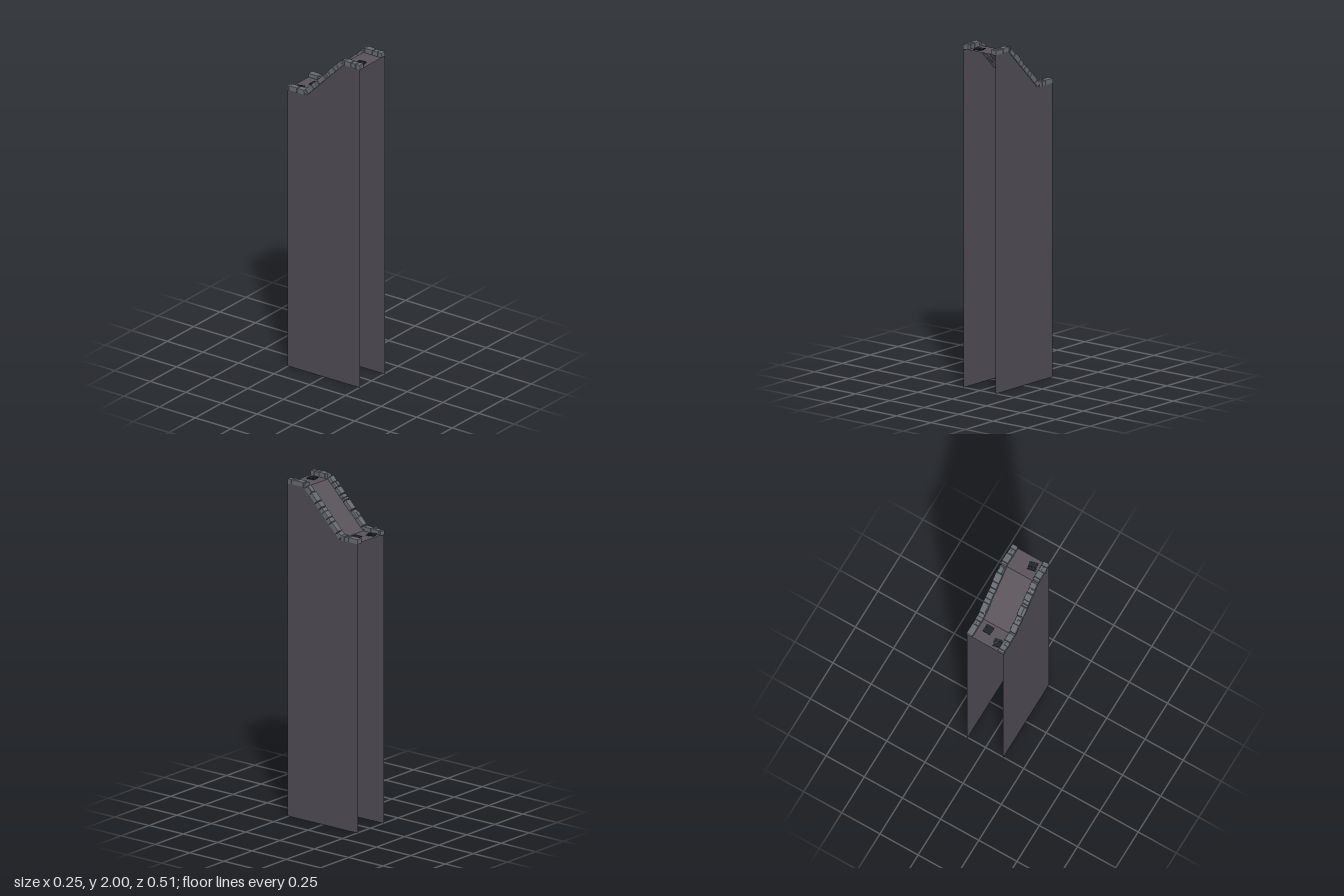
import * as THREE from 'three';
import { RoundedBoxGeometry } from 'three/addons/geometries/RoundedBoxGeometry.js';

const HIGH = 1.972, LOW = 1.716, BREAK = 0.129, END = 0.256, WALL_X = 0.117;
const SLOPE = Math.atan2(HIGH - LOW, 2 * BREAK);

// floor height along the ramp
function floorY(z) {
  const t = THREE.MathUtils.clamp((z + BREAK) / (2 * BREAK), 0, 1);
  return LOW + (HIGH - LOW) * t;
}

// curb stones as [z start, z end, inner x, outer x, extra height]
const STONES_RIGHT = [
  [-0.257, -0.242, 0.084, 0.122, -0.003], [-0.241, -0.184, 0.084, 0.121, 0],
  [-0.212, -0.185, 0.100, 0.124, 0.003], [-0.182, -0.134, 0.084, 0.122, 0.001],
  [-0.129, -0.118, 0.086, 0.124, 0], [-0.116, -0.077, 0.084, 0.122, 0.002],
  [-0.076, -0.039, 0.086, 0.122, -0.002], [-0.072, -0.053, 0.101, 0.124, 0.003],
  [-0.036, 0.009, 0.083, 0.109, 0.002], [-0.034, 0.009, 0.106, 0.125, -0.001],
  [0.012, 0.022, 0.086, 0.124, 0], [0.024, 0.040, 0.084, 0.123, -0.002],
  [0.041, 0.073, 0.084, 0.123, 0.002], [0.076, 0.100, 0.086, 0.122, -0.002],
  [0.078, 0.098, 0.103, 0.125, 0.003], [0.100, 0.127, 0.084, 0.122, 0.001],
  [0.131, 0.148, 0.084, 0.124, 0], [0.150, 0.192, 0.084, 0.123, 0.001],
  [0.193, 0.228, 0.084, 0.122, -0.002], [0.195, 0.226, 0.100, 0.124, 0.001],
  [0.229, 0.256, 0.084, 0.121, 0],
];
const STONES_LEFT = [
  [-0.257, -0.190, 0.083, 0.121, 0], [-0.189, -0.160, 0.083, 0.120, -0.003],
  [-0.188, -0.162, 0.083, 0.106, 0.002], [-0.159, -0.134, 0.083, 0.122, 0.001],
  [-0.130, -0.106, 0.083, 0.121, 0], [-0.104, -0.058, 0.086, 0.122, 0.002],
  [-0.108, -0.056, 0.081, 0.096, -0.002], [-0.056, -0.036, 0.083, 0.123, 0],
  [-0.035, -0.005, 0.084, 0.122, 0.002], [-0.004, 0.015, 0.082, 0.121, -0.001],
  [0.017, 0.044, 0.083, 0.122, 0.001], [0.046, 0.088, 0.082, 0.124, 0.002],
  [0.090, 0.122, 0.083, 0.121, -0.002], [0.092, 0.122, 0.091, 0.116, 0.003],
  [0.124, 0.137, 0.084, 0.122, -0.002], [0.139, 0.192, 0.084, 0.123, 0.001],
  [0.193, 0.228, 0.084, 0.121, -0.002], [0.196, 0.226, 0.084, 0.106, 0.001],
  [0.229, 0.256, 0.084, 0.122, 0],
];

// cracked tile: polygon pieces in unit square coordinates
const TILES = [
  { x: -0.058, z: -0.213, turn: 0.22, size: 0.048, pieces: [
    [[-0.5, -0.5], [0.47, -0.5], [0.45, -0.05], [0.1, 0.02], [0.02, 0.2], [-0.5, 0.12]],
    [[-0.5, 0.17], [0.02, 0.25], [0.0, 0.5], [-0.42, 0.5]],
    [[0.07, 0.24], [0.15, 0.06], [0.5, -0.01], [0.5, 0.5], [0.05, 0.5]]] },
  { x: 0.029, z: -0.169, turn: 0, size: 0.049, pieces: [
    [[-0.5, -0.5], [0.5, -0.5], [0.5, 0.0], [0.3, 0.08], [0.15, 0.03],
      [0.3, 0.12], [0.5, 0.05], [0.5, 0.5], [-0.5, 0.5]]] },
  { x: -0.041, z: 0.205, turn: 0.2, size: 0.05, pieces: [
    [[-0.5, -0.5], [0.5, -0.5], [0.5, -0.22], [0.1, -0.16], [-0.5, -0.2]],
    [[-0.5, -0.16], [0.1, -0.12], [0.5, -0.18], [0.5, 0.28], [0.2, 0.2], [0.0, 0.3],
      [0.2, 0.25], [0.5, 0.33], [0.46, 0.5], [-0.5, 0.5]]] },
];

export function createModel() {
  const group = new THREE.Group();
  const material = (color) => new THREE.MeshStandardMaterial({ color, flatShading: true, side: THREE.DoubleSide });
  const wallMat = material(0x4e4b53), floorMat = material(0x585259);
  const stoneMat = material(0x656a70), tileMat = material(0x1b1f25);
  const add = (parent, name, geometry, mat) => {
    const mesh = new THREE.Mesh(geometry, mat);
    mesh.name = name;
    parent.add(mesh);
    return mesh;
  };

  // tall thin side walls, open at both ends; shape x runs along -z
  const outline = new THREE.Shape([
    [-END, 0], [END, 0], [END, LOW], [BREAK, LOW], [-BREAK, HIGH], [-END, HIGH],
  ].map(([a, b]) => new THREE.Vector2(a, b)));
  for (const side of [-1, 1]) {
    const wall = add(group, side > 0 ? 'leftWall' : 'rightWall', new THREE.ShapeGeometry(outline), wallMat);
    wall.rotation.y = Math.PI / 2;
    wall.position.x = side * WALL_X;
  }

  // floor: low landing, ramp, high landing
  const floor = new THREE.PlaneGeometry(2 * WALL_X, 1, 1, 3).rotateX(-Math.PI / 2);
  const rows = [-END, -BREAK, BREAK, END];
  const p = floor.attributes.position;
  for (let i = 0; i < p.count; i++) {
    const z = rows[Math.floor(i / 2)];
    p.setY(i, floorY(z));
    p.setZ(i, z);
  }
  floor.computeVertexNormals();
  add(group, 'floor', floor, floorMat);

  // stone curbs following the ramp on both edges
  for (const [side, name, stones] of [[-1, 'rightCurb', STONES_RIGHT], [1, 'leftCurb', STONES_LEFT]]) {
    const curb = new THREE.Group();
    curb.name = name;
    group.add(curb);
    for (const [z0, z1, inner, outer, extra] of stones) {
      const z = (z0 + z1) / 2;
      const sloped = Math.abs(z) < BREAK - 0.003;
      const length = (z1 - z0) / (sloped ? Math.cos(SLOPE) : 1);
      const height = 0.03 + extra;
      const stone = add(curb, 'stone',
        new RoundedBoxGeometry(outer - inner, height, length, 1, 0.003), stoneMat);
      const y = floorY(z) + (sloped ? 0.008 : z > 0 ? 0.0125 : 0.009);
      stone.position.set(side * (inner + outer) / 2, y + extra / 2, z);
      if (sloped) stone.rotation.x = -SLOPE;
    }
  }

  // dark cracked tiles on the landings
  for (const { x, z, turn, size, pieces } of TILES) {
    const tile = new THREE.Group();
    tile.name = 'crackedTile';
    for (const points of pieces) {
      const shape = new THREE.Shape(points.map(([a, b]) => new THREE.Vector2(a * size, -b * size)));
      const geometry = new THREE.ExtrudeGeometry(shape, { depth: 0.004, bevelEnabled: false });
      add(tile, 'tilePiece', geometry.rotateX(-Math.PI / 2), tileMat);
    }
    tile.position.set(x, floorY(z), z);
    tile.rotation.y = turn;
    group.add(tile);
  }
  return group;
}
